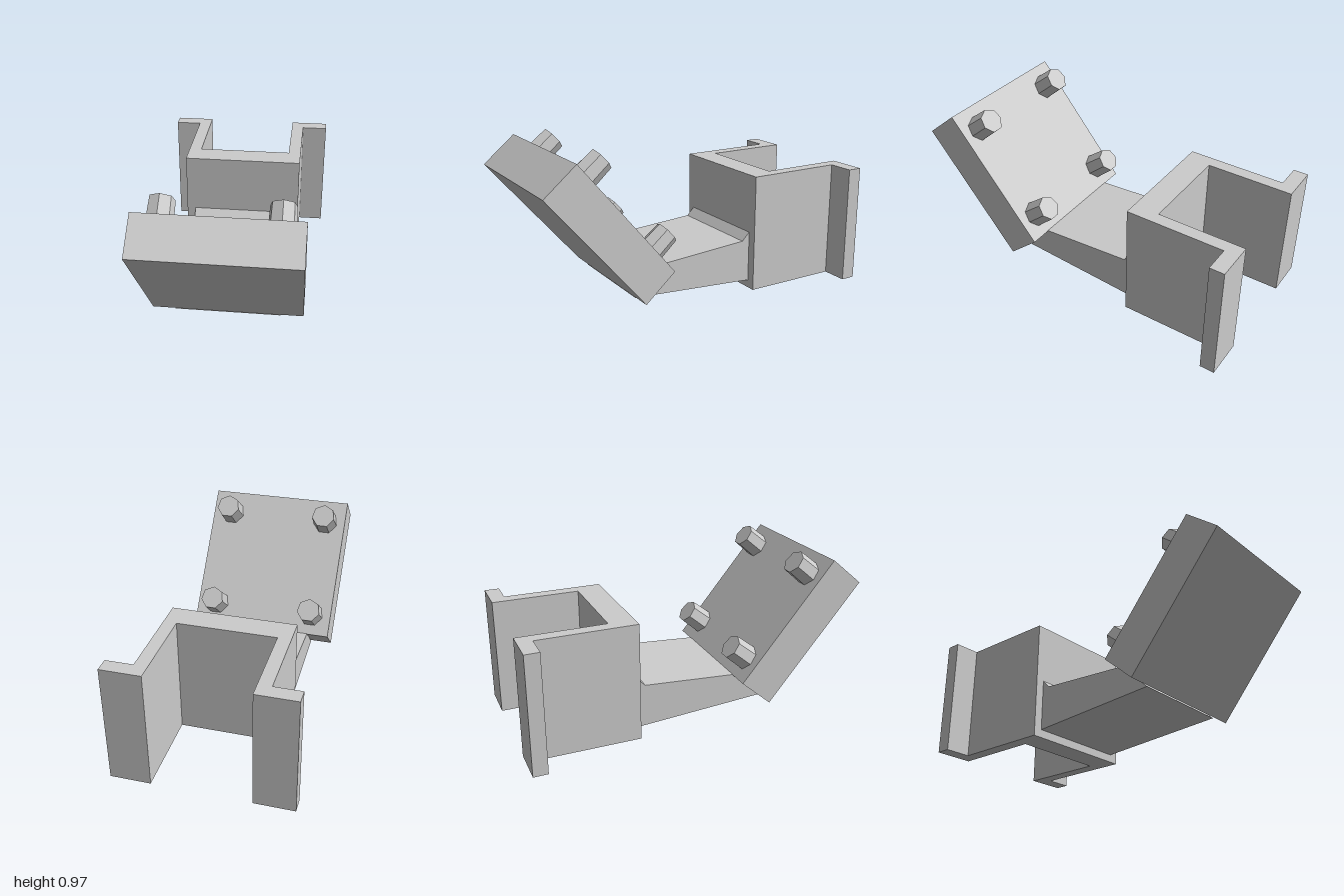
import * as THREE from 'three';

const grey = new THREE.MeshStandardMaterial({ color: 0xcccccc });
grey.name = 'plain grey';

function add(group, name, geometry) {
  const mesh = new THREE.Mesh(geometry, grey);
  mesh.name = name;
  group.add(mesh);
  return mesh;
}

const shapeOf = (points) => new THREE.Shape(points.map(([a, b]) => new THREE.Vector2(a, b)));

// Side profile given as [z, y], extruded symmetrically across x
function sideExtrude(points, width) {
  const g = new THREE.ExtrudeGeometry(shapeOf(points), { depth: width, bevelEnabled: false });
  return g.translate(0, 0, -width / 2).rotateY(-Math.PI / 2);
}

export function createModel() {
  const model = new THREE.Group();
  model.name = 'wallBracket';

  // Flanged channel: half outline as [x, -z], mirrored, extruded upwards
  const half = [[0.355, 0.338], [0.355, 0.915], [0.51, 0.915], [0.51, 1], [0.28, 1], [0.28, 0.49]];
  const outline = [...half, ...half.map(([x, z]) => [-x, z]).reverse()];
  add(model, 'channel', new THREE.ExtrudeGeometry(shapeOf(outline), { depth: 0.698, bevelEnabled: false })
    .rotateX(-Math.PI / 2));

  // Tapered arm with a chamfer where it meets the channel
  add(model, 'arm', sideExtrude(
    [[0.435, 0.103], [0.26, 0.267], [-0.29, 0.302], [-0.34, 0.352], [-0.34, 0.047]], 0.606));

  // Tilted plate
  const low = new THREE.Vector2(0.257, 0.265), high = new THREE.Vector2(0.815, 0.935);
  add(model, 'plate', sideExtrude(
    [[1, 0.78], [high.x, high.y], [low.x, low.y], [0.437, 0.109]], 0.866));

  // Faceted studs standing on the plate's rear face
  const up = high.clone().sub(low).normalize();
  const normal = new THREE.Vector3(0, up.x, -up.y);
  const length = 0.15;
  for (const x of [-0.309, 0.309]) {
    for (const [z, y] of [[0.727, 0.83], [0.338, 0.367]]) {
      const stud = add(model, 'stud', new THREE.CylinderGeometry(0.071, 0.076, length, 7).toNonIndexed());
      stud.geometry.computeVertexNormals();
      stud.quaternion.setFromUnitVectors(new THREE.Vector3(0, 1, 0), normal);
      stud.position.set(x, y, z).addScaledVector(normal, length / 2 - 0.015);
    }
  }
  return model;
}
